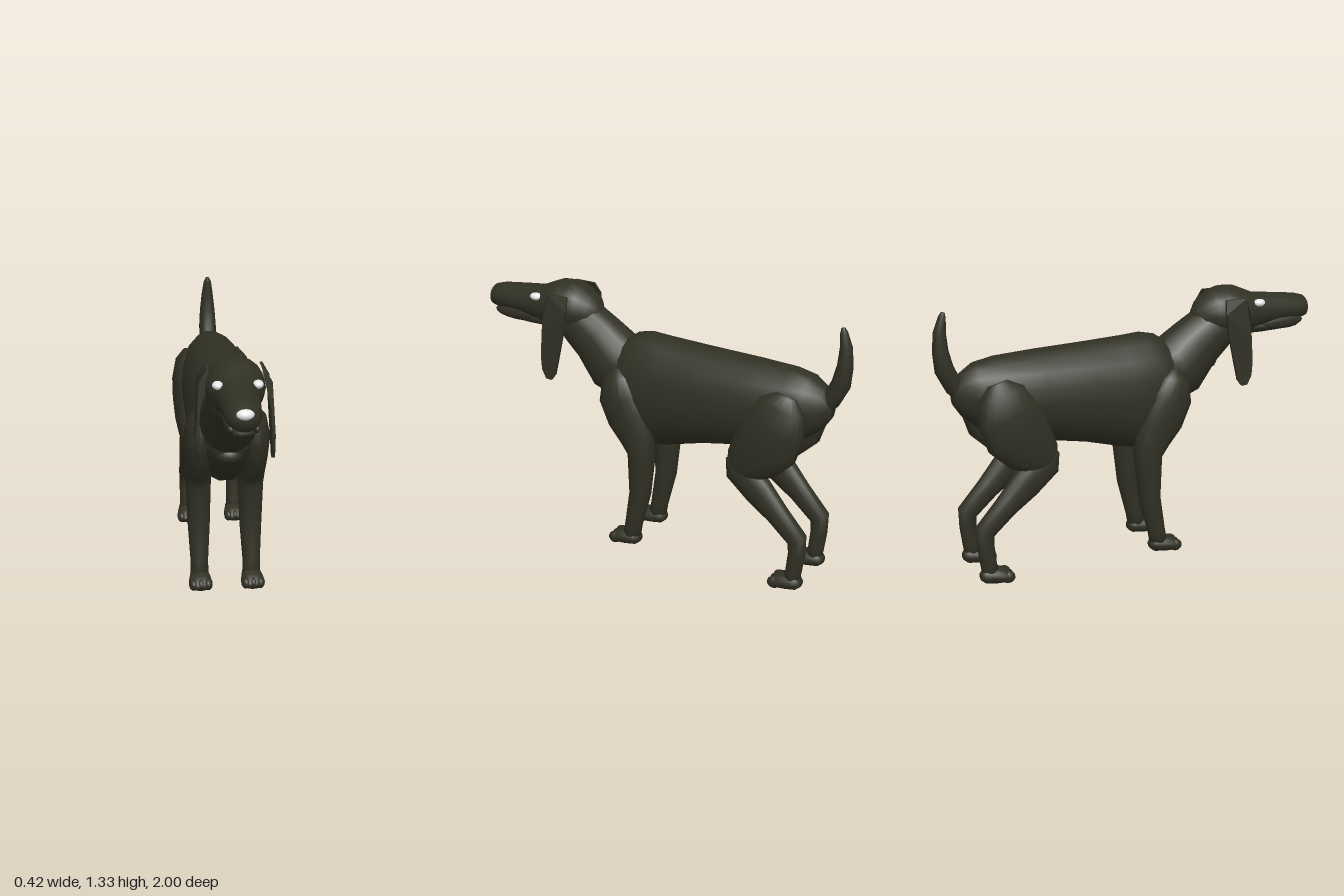
import * as THREE from 'three';

const coat = new THREE.MeshStandardMaterial({ color: 0x303024 });
coat.name = 'dark olive coat';
const pale = new THREE.MeshStandardMaterial({ color: 0xf0f0f0 });
pale.name = 'pale eyes and nose';

// Skin over elliptical rings; each ring is [x, y, z, half width, half depth].
// Rings stand square to the path, or all face +z when upright is true.
function loft(rings, upright = false, sides = 18) {
  const pos = [], index = [];
  rings.forEach(([x, y, z, rx, r], i) => {
    const a = rings[Math.max(i - 1, 0)], b = rings[Math.min(i + 1, rings.length - 1)];
    let ty = b[1] - a[1], tz = b[2] - a[2];
    const len = Math.hypot(ty, tz);
    [ty, tz] = upright ? [0, 1] : [ty / len, tz / len];
    for (let j = 0; j < sides; j++) {
      const t = (j / sides) * Math.PI * 2, s = Math.sin(t) * r;
      pos.push(x + Math.cos(t) * rx, y + s * tz, z - s * ty);
    }
  });
  const last = rings.length - 1, cap = rings.length * sides;
  pos.push(...rings[0].slice(0, 3), ...rings[last].slice(0, 3));
  for (let j = 0; j < sides; j++) {
    const k = (j + 1) % sides;
    for (let i = 0; i < last; i++) {
      const p = i * sides, q = p + sides;
      index.push(p + j, p + k, q + k, p + j, q + k, q + j);
    }
    index.push(cap, k, j, cap + 1, last * sides + j, last * sides + k);
  }
  const geo = new THREE.BufferGeometry();
  geo.setAttribute('position', new THREE.Float32BufferAttribute(pos, 3));
  geo.setIndex(index);
  geo.computeVertexNormals();
  return geo;
}

// Upright loft along z from [z, top, bottom, half width]
const hull = (list, x = 0) =>
  loft(list.map(([z, top, low, w]) => [x, (top + low) / 2, z, w, (top - low) / 2]), true);

function add(parent, name, geo, mat = coat) {
  const mesh = new THREE.Mesh(geo, mat);
  mesh.name = name;
  parent.add(mesh);
  return mesh;
}

function blob(parent, name, p, s, mat = coat) {
  const mesh = add(parent, name, new THREE.SphereGeometry(1, 16, 12), mat);
  mesh.position.set(...p);
  mesh.scale.set(...s);
  return mesh;
}

// Paw with its centre at z0
function paw(parent, x, z0) {
  add(parent, 'paw', hull([
    [z0 - 0.075, 0.06, 0.025, 0.025], [z0 - 0.055, 0.085, 0.008, 0.045],
    [z0, 0.085, 0.0, 0.054], [z0 + 0.045, 0.072, 0.0, 0.06],
    [z0 + 0.07, 0.055, 0.005, 0.05], [z0 + 0.082, 0.04, 0.016, 0.025]], x));
  for (const d of [-0.036, 0, 0.036])
    blob(parent, 'toe', [x + d, 0.033, z0 + 0.052], [0.023, 0.03, 0.034]);
}

// Hanging ear: flat outline in z and y, bent outwards by height
function earGeometry(side) {
  const outline = [[0.57, 1.262], [0.46, 1.262], [0.445, 1.2], [0.46, 1.08], [0.485, 0.95],
    [0.505, 0.865], [0.53, 0.832], [0.56, 0.835], [0.582, 0.88], [0.587, 0.95], [0.582, 1.08], [0.575, 1.2]];
  const shape = new THREE.Shape(outline.map(([z, y]) => new THREE.Vector2(z, y)));
  const geo = new THREE.ExtrudeGeometry(shape, { depth: 0.014, bevelEnabled: false });
  geo.rotateY(-Math.PI / 2);
  const p = geo.attributes.position;
  for (let i = 0; i < p.count; i++) {
    const y = p.getY(i);
    const bend = y > 1.2 ? 0.16 - (y - 1.2) * 0.55 : 0.16 + Math.min(1.2 - y, 0.25) * 0.06;
    p.setX(i, side * bend + p.getX(i) + 0.007);
  }
  geo.computeVertexNormals();
  return geo;
}

export function createModel() {
  const dog = new THREE.Group();
  dog.name = 'dog';

  // Trunk, deep at the chest and tucked at the belly
  add(dog, 'body', hull([
    [-0.91, 0.97, 0.88, 0.035], [-0.87, 1.03, 0.82, 0.08], [-0.8, 1.075, 0.76, 0.12],
    [-0.7, 1.092, 0.71, 0.155], [-0.5, 1.1, 0.655, 0.175], [-0.25, 1.105, 0.605, 0.182],
    [-0.04, 1.112, 0.545, 0.182], [0.06, 1.118, 0.535, 0.178], [0.14, 1.1, 0.58, 0.165],
    [0.21, 1.05, 0.65, 0.14], [0.27, 0.95, 0.7, 0.1], [0.3, 0.84, 0.74, 0.04]]));
  blob(dog, 'breastbone', [0, 0.745, 0.265], [0.065, 0.045, 0.05]);

  add(dog, 'neck', loft([
    [0, 0.86, 0.12, 0.14, 0.15], [0, 0.93, 0.26, 0.14, 0.17], [0, 1.03, 0.36, 0.122, 0.142],
    [0, 1.09, 0.44, 0.115, 0.13], [0, 1.15, 0.52, 0.11, 0.11]]));

  // Head
  const head = new THREE.Group();
  head.name = 'head';
  dog.add(head);
  add(head, 'skullAndMuzzle', hull([
    [0.34, 1.2, 1.12, 0.03], [0.38, 1.25, 1.07, 0.085], [0.44, 1.29, 1.055, 0.12],
    [0.5, 1.305, 1.05, 0.137], [0.57, 1.3, 1.05, 0.137], [0.63, 1.275, 1.055, 0.12],
    [0.68, 1.252, 1.07, 0.1], [0.8, 1.238, 1.085, 0.089], [0.92, 1.222, 1.09, 0.08],
    [0.97, 1.208, 1.1, 0.062], [0.987, 1.185, 1.13, 0.03]]));
  add(head, 'lowerJaw', hull([
    [0.54, 1.13, 1.055, 0.06], [0.6, 1.13, 1.05, 0.08], [0.72, 1.12, 1.048, 0.075],
    [0.88, 1.11, 1.05, 0.06], [0.92, 1.1, 1.055, 0.045], [0.94, 1.09, 1.07, 0.02]]));
  blob(head, 'nose', [0, 1.18, 0.965], [0.042, 0.026, 0.035], pale);

  for (const side of [1, -1]) {
    blob(head, 'lip', [side * 0.057, 1.098, 0.81], [0.025, 0.035, 0.13]);
    blob(head, 'eye', [side * 0.09, 1.22, 0.668], [0.025, 0.019, 0.031], pale);
    add(head, 'ear', earGeometry(side));

    // Front leg, from shoulder to wrist
    const front = new THREE.Group();
    front.name = 'frontLeg';
    dog.add(front);
    add(front, 'shoulderAndLeg', loft([
      [side * 0.125, 0.95, 0.18, 0.025, 0.03], [side * 0.135, 0.91, 0.175, 0.055, 0.075],
      [side * 0.14, 0.81, 0.155, 0.07, 0.115], [side * 0.137, 0.7, 0.11, 0.068, 0.115],
      [side * 0.133, 0.6, 0.058, 0.066, 0.093], [side * 0.131, 0.52, 0.038, 0.063, 0.072],
      [side * 0.13, 0.3, 0.048, 0.055, 0.055], [side * 0.131, 0.12, 0.085, 0.044, 0.045],
      [side * 0.131, 0.04, 0.1, 0.046, 0.045]]));
    paw(front, side * 0.131, 0.125);

    // Hind leg: thigh, shin and hock
    const hind = new THREE.Group();
    hind.name = 'hindLeg';
    dog.add(hind);
    add(hind, 'thigh', loft([
      [side * 0.115, 1.0, -0.73, 0.03, 0.05], [side * 0.13, 0.95, -0.715, 0.06, 0.115],
      [side * 0.138, 0.85, -0.685, 0.074, 0.155], [side * 0.138, 0.75, -0.645, 0.074, 0.165],
      [side * 0.135, 0.67, -0.585, 0.07, 0.14], [side * 0.13, 0.6, -0.52, 0.06, 0.1],
      [side * 0.13, 0.56, -0.49, 0.045, 0.06]]));
    add(hind, 'shin', loft([
      [side * 0.13, 0.64, -0.47, 0.045, 0.04], [side * 0.13, 0.58, -0.505, 0.056, 0.085],
      [side * 0.13, 0.48, -0.61, 0.052, 0.08], [side * 0.13, 0.385, -0.71, 0.045, 0.06],
      [side * 0.13, 0.275, -0.818, 0.042, 0.052], [side * 0.13, 0.2, -0.818, 0.04, 0.042],
      [side * 0.13, 0.1, -0.806, 0.04, 0.04], [side * 0.13, 0.04, -0.795, 0.042, 0.04]]));
    paw(hind, side * 0.13, -0.772);
  }

  // Tail, curving up from the rump
  add(dog, 'tail', loft([
    [0, 0.91, -0.84, 0.03, 0.04], [0, 0.97, -0.9, 0.042, 0.045], [0, 1.06, -0.945, 0.046, 0.046],
    [0, 1.15, -0.96, 0.04, 0.038], [0, 1.24, -0.96, 0.03, 0.03],
    [0, 1.31, -0.945, 0.02, 0.018], [0, 1.332, -0.94, 0.009, 0.009]], false, 14));
  return dog;
}
